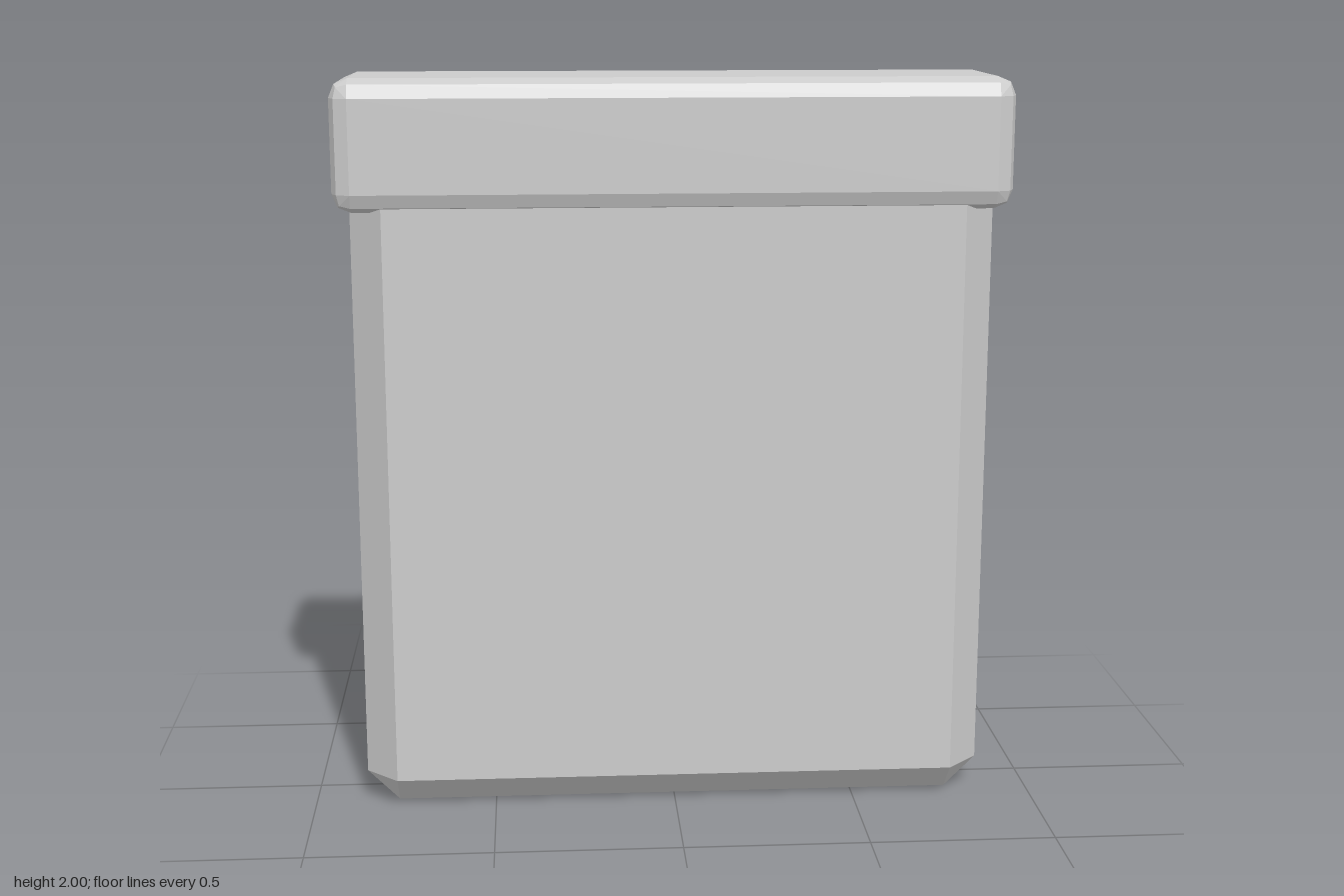
import * as THREE from 'three';
import { ConvexGeometry } from 'three/addons/geometries/ConvexGeometry.js';

// Box with bevelled edges: one bevel segment (chamfer) or two (rounded).
function bevelBox(w, y0, y1, d, r, segments) {
  const a = Math.SQRT1_2, b = 1 / Math.sqrt(3);
  const dirs = [[1, 0, 0], [0, 1, 0], [0, 0, 1]];
  if (segments === 2) dirs.push([a, a, 0], [a, 0, a], [0, a, a], [b, b, b]);
  const half = [w / 2 - r, (y1 - y0) / 2 - r, d / 2 - r];
  const points = [];
  for (const sx of [-1, 1]) for (const sy of [-1, 1]) for (const sz of [-1, 1]) {
    for (const [x, y, z] of dirs) {
      points.push(new THREE.Vector3(
        sx * (half[0] + r * x),
        (y0 + y1) / 2 + sy * (half[1] + r * y),
        sz * (half[2] + r * z)));
    }
  }
  return new ConvexGeometry(points);
}

export function createModel() {
  const group = new THREE.Group();
  group.name = 'cappedSlab';
  const material = new THREE.MeshStandardMaterial({ color: 0xcccccc, flatShading: true });

  // Chamfered upright slab, its top tucked inside the cap
  const slab = new THREE.Mesh(bevelBox(1.714, 0, 1.8, 0.4, 0.087, 1), material);
  slab.name = 'slab';

  // Wider coping block with rounded edges
  const cap = new THREE.Mesh(bevelBox(1.794, 1.653, 2, 0.44, 0.05, 2), material);
  cap.name = 'cap';

  group.add(slab, cap);
  return group;
}
